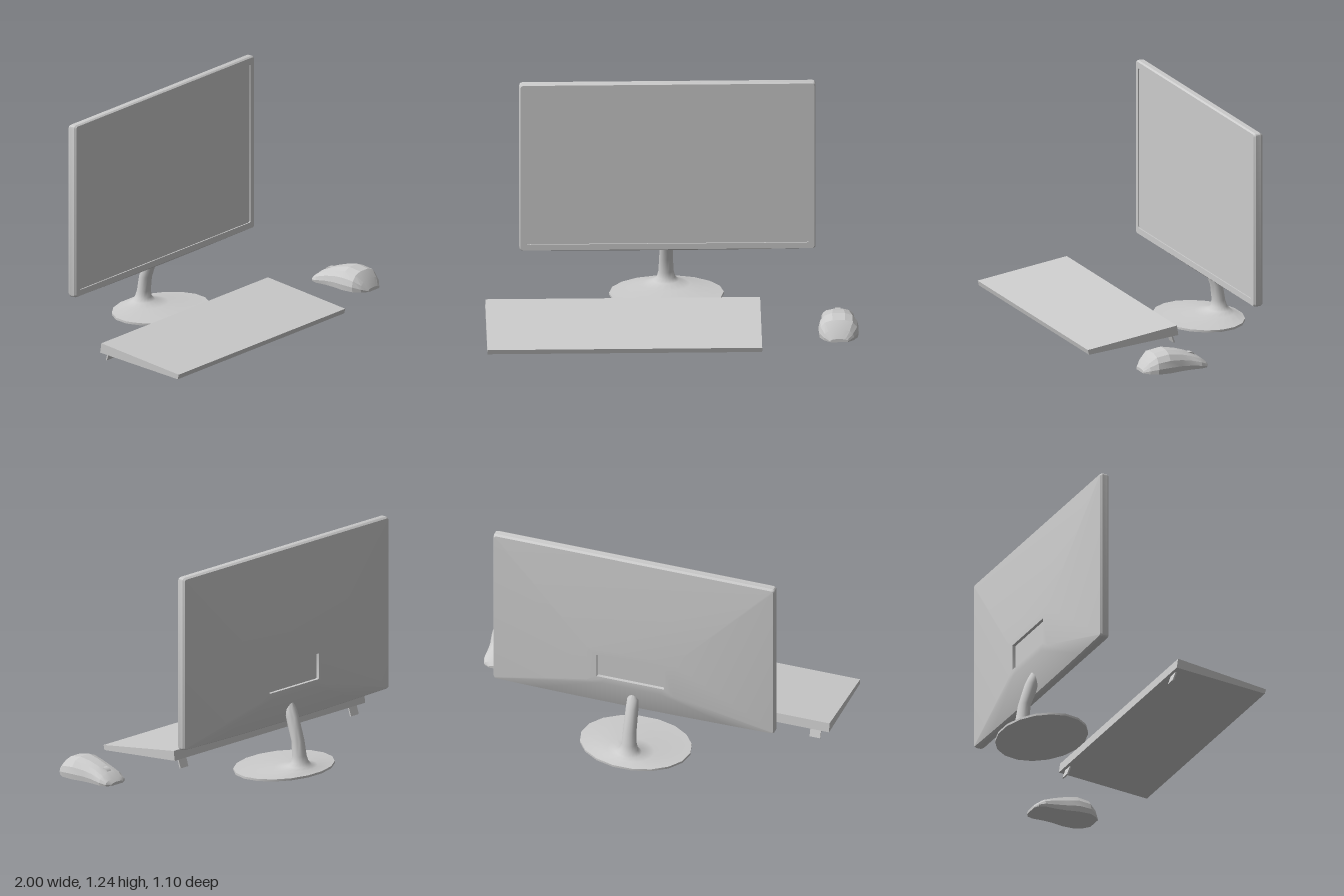
import * as THREE from 'three';
import { toCreasedNormals } from 'three/addons/utils/BufferGeometryUtils.js';

const material = new THREE.MeshStandardMaterial({ color: 0xcccccc });

function part(name, geometry, parent) {
  const mesh = new THREE.Mesh(geometry, material);
  mesh.name = name;
  parent.add(mesh);
  return mesh;
}

// Skin a row of equal-length rings; each ring runs counter-clockwise seen from the end
function loft(rings, crease, capStart = true, capEnd = true) {
  const n = rings[0].length;
  const positions = rings.flat(2);
  const index = [];
  for (let i = 0; i < rings.length - 1; i++) {
    for (let j = 0; j < n; j++) {
      const a = i * n + j, b = i * n + (j + 1) % n;
      index.push(a, b, b + n, a, b + n, a + n);
    }
  }
  const last = (rings.length - 1) * n;
  for (let j = 1; j < n - 1; j++) {
    if (capStart) index.push(0, j + 1, j);
    if (capEnd) index.push(last, last + j, last + j + 1);
  }
  const geometry = new THREE.BufferGeometry();
  geometry.setAttribute('position', new THREE.Float32BufferAttribute(positions, 3));
  geometry.setIndex(index);
  return toCreasedNormals(geometry, crease);
}

// Rounded rectangle in a z plane, with a bottom edge that can bow downward
function panelRing(x0, x1, y0, y1, z, r, bow = 0) {
  const ring = [];
  const corners = [[x1 - r, y1 - r], [x0 + r, y1 - r], [x0 + r, y0 + r], [x1 - r, y0 + r]];
  corners.forEach(([cx, cy], k) => {
    for (let s = 0; s <= 3; s++) {
      const a = (k + s / 3) * Math.PI / 2;
      ring.push([cx + r * Math.cos(a), cy + r * Math.sin(a), z]);
    }
    if (k === 2) {
      for (const t of [0.15, 0.3, 0.5, 0.7, 0.85]) {
        ring.push([x0 + r + (x1 - x0 - 2 * r) * t, y0 - bow * 4 * t * (1 - t), z]);
      }
    }
  });
  return ring;
}

function buildMonitor() {
  const monitor = new THREE.Group();
  monitor.name = 'monitor';

  // Housing from the recess in the back, over the bulge and rim, to the screen's edge
  const screenEdge = panelRing(-0.775, 0.742, 0.305, 1.195, -0.298, 0.012);
  part('housing', loft([
    panelRing(-0.205, 0.175, 0.468, 0.612, -0.38, 0.003),
    panelRing(-0.205, 0.175, 0.468, 0.612, -0.398, 0.003),
    panelRing(-0.26, 0.23, 0.43, 0.65, -0.398, 0.004),
    panelRing(-0.803, 0.773, 0.274, 1.227, -0.342, 0.012, 0.009),
    panelRing(-0.81, 0.78, 0.268, 1.235, -0.33, 0.016, 0.01),
    panelRing(-0.81, 0.78, 0.268, 1.235, -0.301, 0.016, 0.005),
    panelRing(-0.803, 0.773, 0.272, 1.229, -0.291, 0.014),
    panelRing(-0.775, 0.742, 0.305, 1.195, -0.291, 0.012),
    screenEdge,
  ], 0.45, true, false), monitor);

  const screen = new THREE.Shape(screenEdge.map(([x, y]) => new THREE.Vector2(x, y)));
  part('screen', new THREE.ShapeGeometry(screen).translate(0, 0, -0.298), monitor);

  // Oval foot flowing up into the curved neck: [y, centre z, radius x, radius z]
  const sections = [
    [0, -0.317, 0.308, 0.235], [0.012, -0.317, 0.308, 0.235],
    [0.024, -0.405, 0.13, 0.105], [0.036, -0.434, 0.07, 0.06],
    [0.055, -0.435, 0.05, 0.043], [0.09, -0.431, 0.041, 0.036],
    [0.17, -0.42, 0.037, 0.034], [0.25, -0.393, 0.035, 0.037],
    [0.3, -0.378, 0.034, 0.036], [0.345, -0.366, 0.031, 0.027],
    [0.375, -0.362, 0.015, 0.015],
  ];
  const sides = 18;
  part('stand', loft(sections.map(([y, cz, rx, rz]) => Array.from({ length: sides }, (_, j) => {
    const a = (j + 0.0) / sides * Math.PI * 2;
    return [-0.02 + rx * Math.cos(a), y, cz - rz * Math.sin(a)];
  })), 0.75), monitor);
  return monitor;
}

function buildKeyboard() {
  const keyboard = new THREE.Group();
  keyboard.name = 'keyboard';

  // Wedge-shaped slab, side profile as (z, y)
  const profile = new THREE.Shape([[0.543, 0.02], [0.55, 0.047], [0.028, 0.124], [0.02, 0.07]]
    .map(([z, y]) => new THREE.Vector2(z, y)).reverse());
  const slab = new THREE.ExtrudeGeometry(profile, { depth: 1.475, bevelEnabled: false });
  slab.rotateY(-Math.PI / 2).translate(0.475, 0, 0);
  part('keyboardSlab', slab, keyboard);

  // Tilted flip-out feet
  for (const x of [-0.92, 0.4]) {
    const foot = part('keyboardFoot', new THREE.BoxGeometry(0.06, 0.06, 0.008), keyboard);
    foot.position.set(x, 0.045, 0.033);
    foot.rotation.x = 0.33;
  }
  return keyboard;
}

function buildMouse() {
  const mouse = new THREE.Group();
  mouse.name = 'mouse';
  mouse.position.x = 0.89;

  // Stations along the body: [z, half width, top y]
  const stations = [
    [0.05, 0.045, 0.04], [0.065, 0.075, 0.055], [0.1, 0.088, 0.081], [0.16, 0.086, 0.107],
    [0.22, 0.092, 0.125], [0.29, 0.108, 0.137], [0.36, 0.107, 0.124],
    [0.4, 0.082, 0.085], [0.427, 0.048, 0.042],
  ];
  const half = [[0.96, 0], [1, 0.28], [0.92, 0.6], [0.7, 0.87], [0.32, 1]];
  const outline = [...half, ...half.map(([x, y]) => [-x, y]).reverse()];
  part('mouseBody', loft(stations.map(([z, w, top]) =>
    outline.map(([x, y]) => [x * w, 0.024 + y * (top - 0.024), z])), 0.3), mouse);

  const wheel = new THREE.CylinderGeometry(0.035, 0.035, 0.03, 20).rotateZ(Math.PI / 2);
  part('scrollWheel', wheel, mouse).position.set(0, 0.068, 0.14);
  return mouse;
}

export function createModel() {
  const model = new THREE.Group();
  model.name = 'desktopSet';
  model.add(buildMonitor(), buildKeyboard(), buildMouse());
  return model;
}
